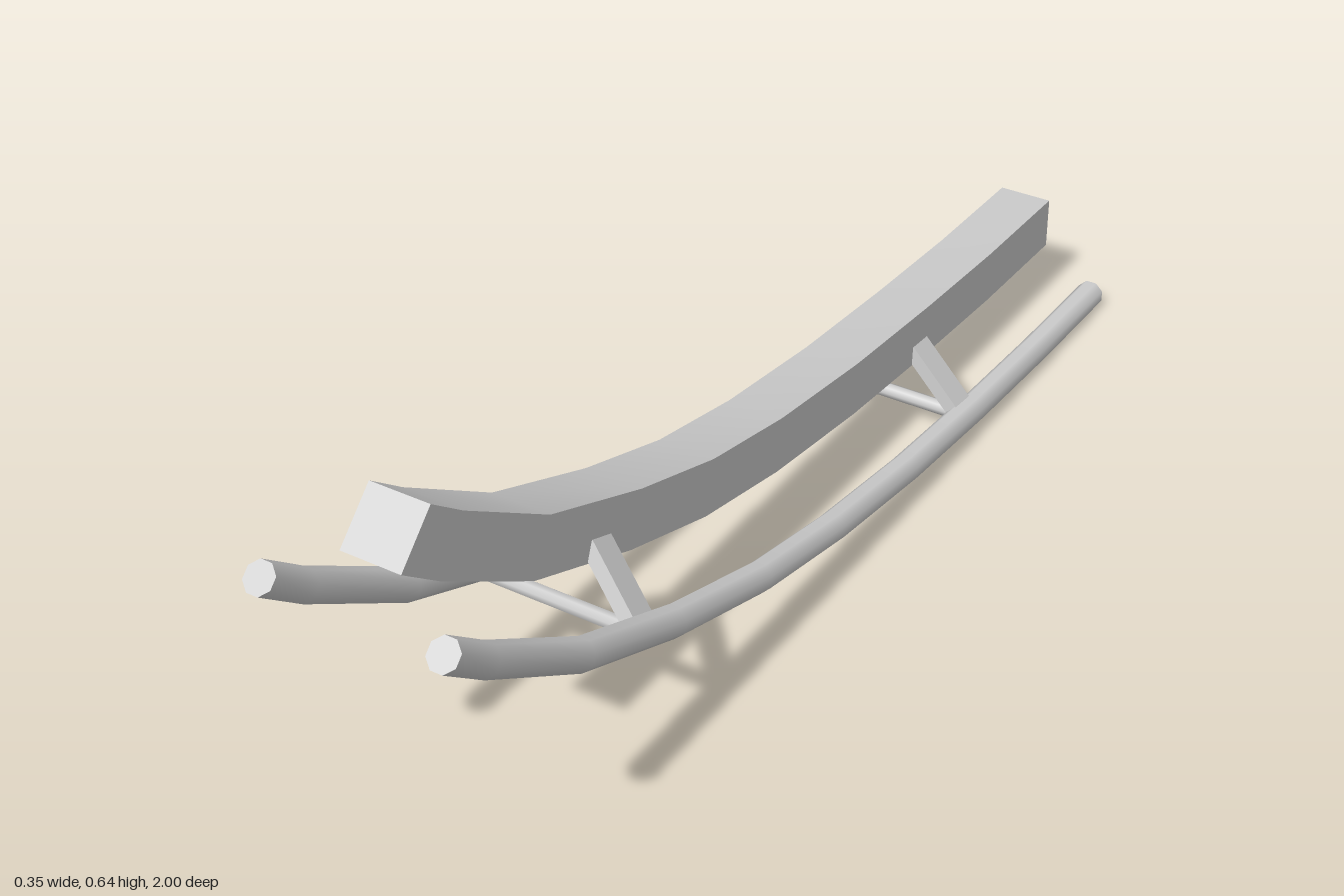
import * as THREE from 'three';
import { toCreasedNormals } from 'three/addons/utils/BufferGeometryUtils.js';

const material = new THREE.MeshStandardMaterial({ color: 0xcccccc });

// Sweep a regular polygon (flat sides facing x) along a [z, y] path, mitred and capped.
function sweep(path, half, sides, endAngle) {
  const radius = half / Math.cos(Math.PI / sides);
  const last = path.length - 1;
  const slope = (i) => Math.atan2(path[i + 1][1] - path[i][1], path[i + 1][0] - path[i][0]);
  const positions = [];
  const index = [];
  path.forEach(([z, y], i) => {
    const a = i === 0 ? 0 : i === last ? endAngle : (slope(i - 1) + slope(i)) / 2;
    for (let j = 0; j < sides; j++) {
      const t = ((j + 0.5) / sides) * Math.PI * 2;
      const up = radius * Math.sin(t);
      positions.push(radius * Math.cos(t), y + up * Math.cos(a), z - up * Math.sin(a));
    }
  });
  for (let i = 0; i < last; i++) {
    for (let j = 0; j < sides; j++) {
      const k = (j + 1) % sides;
      const a = i * sides + j, b = i * sides + k;
      index.push(a, b, b + sides, a, b + sides, a + sides);
    }
  }
  const end = last * sides;
  for (let j = 1; j < sides - 1; j++) {
    index.push(0, j + 1, j, end, end + j, end + j + 1);
  }
  const geometry = new THREE.BufferGeometry();
  geometry.setAttribute('position', new THREE.Float32BufferAttribute(positions, 3));
  geometry.setIndex(index);
  return toCreasedNormals(geometry.toNonIndexed(), 0.9);
}

function addMesh(parent, name, geometry, x = 0, y = 0, z = 0) {
  const mesh = new THREE.Mesh(geometry, material);
  mesh.name = name;
  mesh.position.set(x, y, z);
  parent.add(mesh);
  return mesh;
}

export function createModel() {
  const model = new THREE.Group();
  model.name = 'curvedRunnerFrame';

  // Square central beam
  const beamPath = [
    [-1, 0.152], [-0.75, 0.157], [-0.51, 0.17], [-0.25, 0.19], [0, 0.222],
    [0.21, 0.265], [0.41, 0.33], [0.64, 0.425], [0.83, 0.55], [0.9, 0.605],
  ];
  addMesh(model, 'centralBeam', sweep(beamPath, 0.0485, 4, Math.PI / 4)).scale.x = 0.05 / 0.0485;

  // Pair of octagonal runners
  const railPath = [
    [-1, 0.027], [-0.76, 0.031], [-0.5, 0.043], [-0.25, 0.063], [0, 0.097],
    [0.23, 0.145], [0.47, 0.222], [0.7, 0.32], [0.905, 0.455], [0.983, 0.518],
  ];
  const railGeometry = sweep(railPath, 0.024, 8, Math.PI / 4);
  addMesh(model, 'leftRunner', railGeometry, 0.15);
  addMesh(model, 'rightRunner', railGeometry, -0.15);

  // Two triangular braces, each square to the curve
  const braces = [
    ['frontBrace', 0.247, 0.542, 0.37],
    ['rearBrace', 0.044, -0.474, 0.07],
  ];
  for (const [name, y, z, tilt] of braces) {
    const brace = new THREE.Group();
    brace.name = name;
    brace.position.set(0, y, z);
    brace.rotation.x = -tilt;
    model.add(brace);

    const rod = addMesh(brace, 'crossRod', new THREE.CylinderGeometry(0.0135, 0.0135, 0.3, 8));
    rod.rotation.z = Math.PI / 2;

    for (const side of [1, -1]) {
      const strut = addMesh(brace, side > 0 ? 'leftStrut' : 'rightStrut',
        new THREE.BoxGeometry(0.025, 0.15, 0.05), side * 0.095, 0.055, 0);
      strut.rotation.z = side * Math.PI / 4;
    }
  }

  return model;
}
